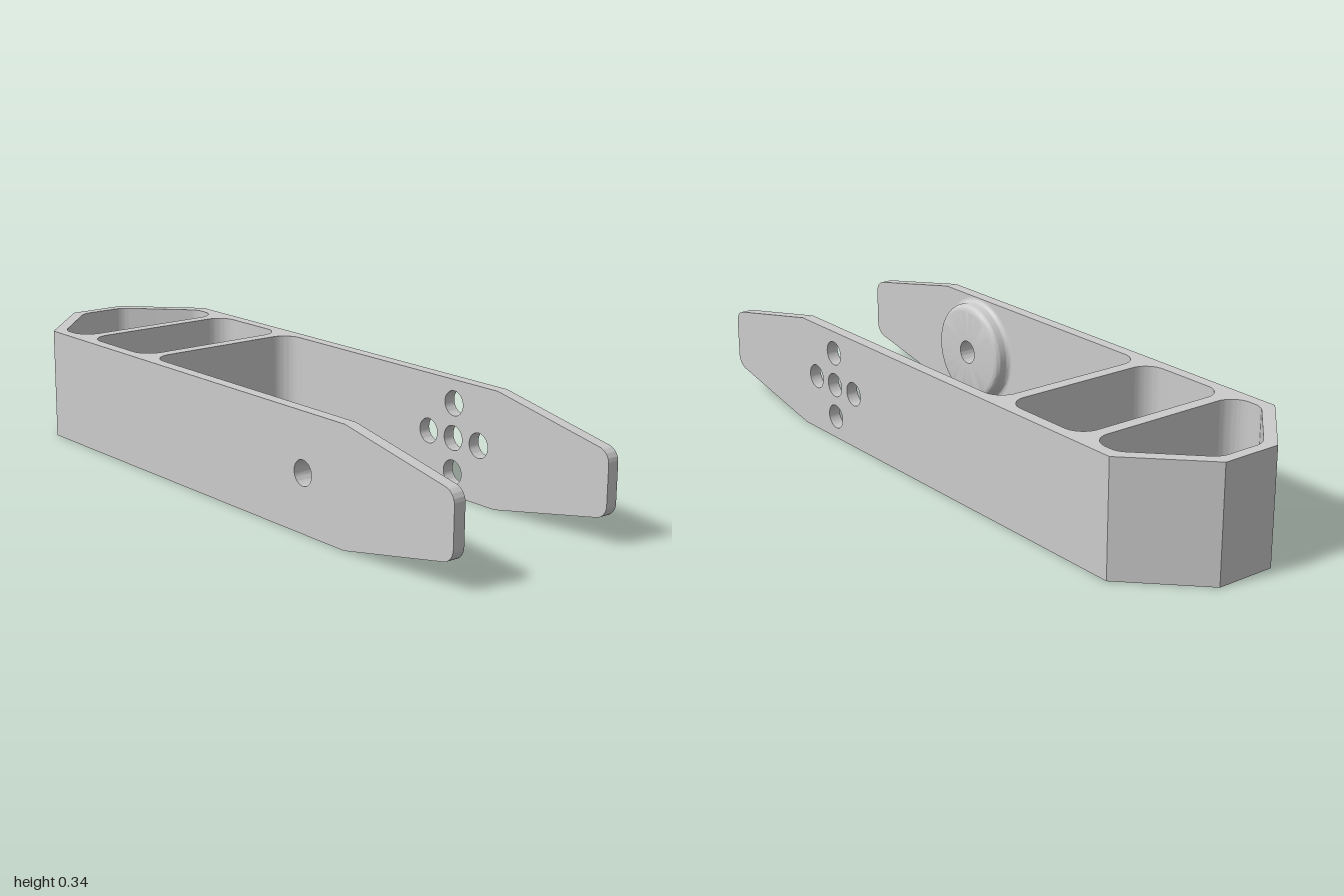
import * as THREE from 'three';
import { toCreasedNormals } from 'three/addons/utils/BufferGeometryUtils.js';

const H = 0.336, OUT = 0.288, IN = 0.252, WALL = OUT - IN;
const SPLIT = -0.2;                 // z where the frame hands over to the arms
const PIVOT_Z = 0.432, PIVOT_Y = H / 2, HOLE_R = 0.036;

const material = new THREE.MeshStandardMaterial({ color: 0xcccccc });

// Closed outline from corners [x, y, radius]; radius 0 or missing stays sharp
function outline(corners, path) {
  const n = corners.length;
  corners.forEach(([x, y, r = 0], i) => {
    const p = new THREE.Vector2(x, y);
    const a = new THREE.Vector2(...corners[(i + n - 1) % n].slice(0, 2)).sub(p).normalize();
    const b = new THREE.Vector2(...corners[(i + 1) % n].slice(0, 2)).sub(p).normalize();
    const turn = Math.PI - Math.acos(THREE.MathUtils.clamp(a.dot(b), -1, 1));
    const t = r * Math.tan(turn / 2);
    const h = t - (4 / 3) * Math.tan(turn / 4) * r;
    const at = (d, s) => p.clone().addScaledVector(d, s);
    const start = at(a, t);
    if (i === 0) path.moveTo(start.x, start.y);
    else path.lineTo(start.x, start.y);
    if (r > 0) {
      const c1 = at(a, h), c2 = at(b, h), end = at(b, t);
      path.bezierCurveTo(c1.x, c1.y, c2.x, c2.y, end.x, end.y);
    }
  });
  path.closePath();
  return path;
}

function extrude(shape, depth) {
  return new THREE.ExtrudeGeometry(shape, { depth, bevelEnabled: false, curveSegments: 16 });
}

function addMesh(group, name, geometry) {
  const mesh = new THREE.Mesh(toCreasedNormals(geometry, 0.5), material);
  mesh.name = name;
  group.add(mesh);
}

// Rear frame in plan (shape y = -z), with two windows
function frameGeometry() {
  const shape = outline([
    [OUT, -SPLIT], [OUT, 0.8], [0.09, 1], [-0.09, 1], [-OUT, 0.8], [-OUT, -SPLIT],
    [-IN, -SPLIT], [-IN, 0.312, 0.06], [IN, 0.312, 0.06], [IN, -SPLIT],
  ], new THREE.Shape());
  shape.holes.push(
    outline([[-IN, 0.35, 0.06], [IN, 0.35, 0.06], [IN, 0.647, 0.06], [-IN, 0.647, 0.06]], new THREE.Path()),
    outline([[-IN, 0.685, 0.06], [IN, 0.685, 0.06], [IN, 0.786, 0.06],
      [0.073, 0.968, 0.06], [-0.073, 0.968, 0.06], [-IN, 0.786, 0.06]], new THREE.Path()),
  );
  return extrude(shape, H).rotateX(-Math.PI / 2);
}

// Tapered arm in side profile (shape x = -z), pierced at the given offsets
function armGeometry(x0, offsets) {
  const shape = outline([
    [-SPLIT, 0], [-SPLIT, H], [-0.6, H], [-1, 0.256, 0.04], [-1, 0.08, 0.04], [-0.6, 0],
  ], new THREE.Shape());
  for (const [dz, dy] of offsets) {
    shape.holes.push(new THREE.Path().absarc(-(PIVOT_Z + dz), PIVOT_Y + dy, HOLE_R, 0, Math.PI * 2, true));
  }
  return extrude(shape, WALL).rotateY(Math.PI / 2).translate(x0, 0, 0);
}

// Round boss: base fillet, rounded rim, flat face and bore
function bossGeometry() {
  const pts = [];
  const arc = (cx, cy, r, from, to) => {
    for (let i = 0; i <= 8; i++) {
      const a = from + (to - from) * i / 8;
      pts.push(new THREE.Vector2(cx + r * Math.cos(a), cy + r * Math.sin(a)));
    }
  };
  arc(0.167, 0.015, 0.015, Math.PI * 1.5, Math.PI);
  arc(0.132, 0.027, 0.02, 0, Math.PI / 2);
  pts.push(new THREE.Vector2(HOLE_R, 0.047), new THREE.Vector2(HOLE_R, 0));
  return new THREE.LatheGeometry(pts, 64).rotateZ(-Math.PI / 2).translate(-IN, PIVOT_Y, PIVOT_Z);
}

export function createModel() {
  const group = new THREE.Group();
  group.name = 'forkArm';
  addMesh(group, 'rearFrame', frameGeometry());
  addMesh(group, 'leftArm', armGeometry(IN, [[0, 0], [0.1, 0], [-0.1, 0], [0, 0.1], [0, -0.1]]));
  addMesh(group, 'rightArm', armGeometry(-OUT, [[0, 0]]));
  addMesh(group, 'pivotBoss', bossGeometry());
  return group;
}
